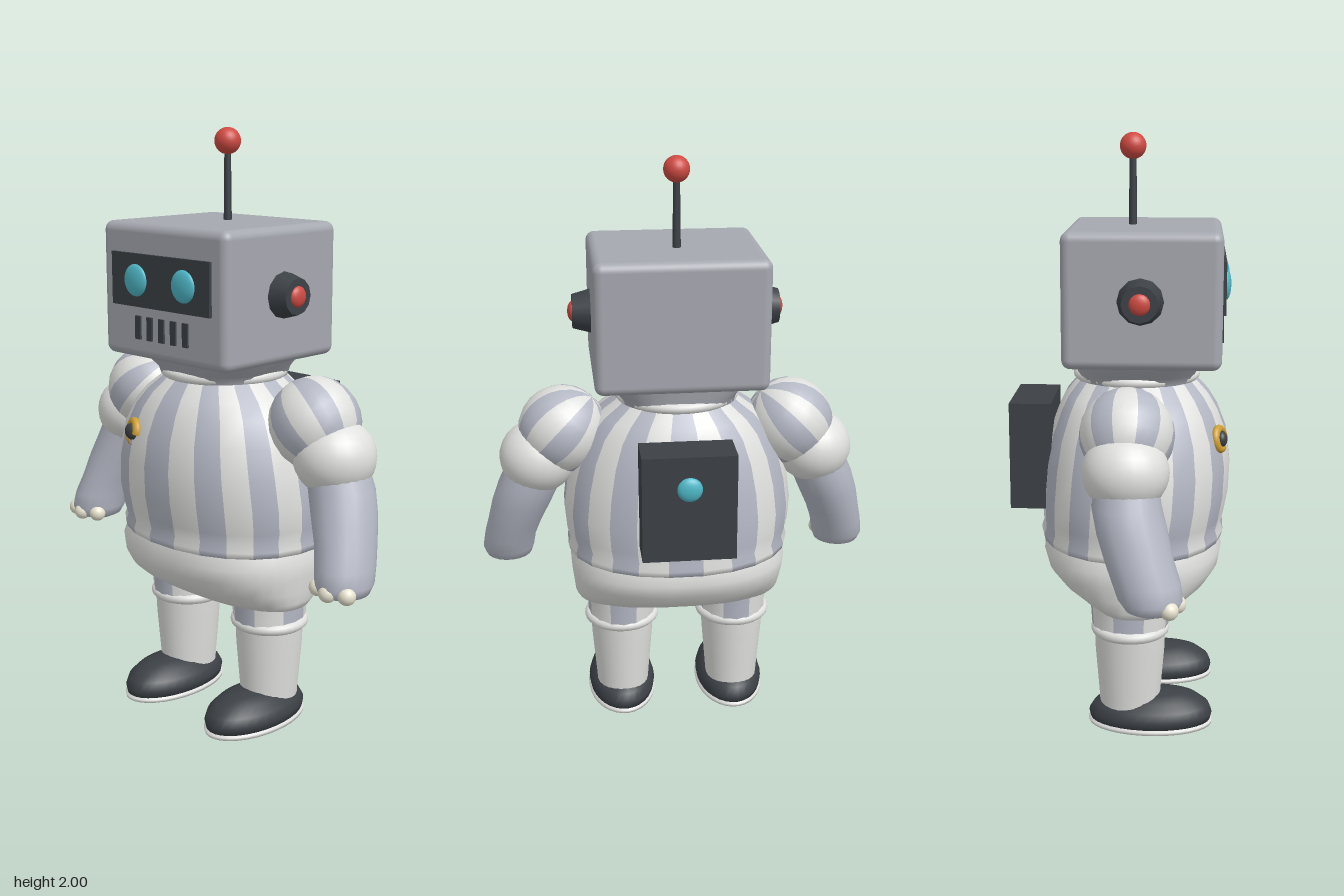
import * as THREE from 'three';
import { RoundedBoxGeometry } from 'three/addons/geometries/RoundedBoxGeometry.js';

const paint = (name, color) => {
  const m = new THREE.MeshStandardMaterial({ color });
  m.name = name;
  return m;
};

export function createModel() {
  const shell = paint('shell grey', 0xa6a8b0);
  const grey = paint('stripe grey', 0xb4b8c4);
  const white = paint('cloth white', 0xe0e0de);
  const dark = paint('dark panel', 0x3c4146);
  const teal = paint('teal light', 0x4fb8c8);
  const red = paint('red', 0xcf4a42);
  const gold = paint('gold', 0xd0a032);
  const cream = paint('cream', 0xe8e3d0);

  const robot = new THREE.Group();
  robot.name = 'robot';

  const add = (name, geo, mat, x = 0, y = 0, z = 0) => {
    const m = new THREE.Mesh(geo, mat);
    m.name = name;
    m.position.set(x, y, z);
    robot.add(m);
    return m;
  };

  // Stretched ball
  const ball = (name, mat, x, y, z, rx, ry = rx, rz = rx) => {
    const m = add(name, new THREE.SphereGeometry(1, 24, 16), mat, x, y, z);
    m.scale.set(rx, ry, rz);
    return m;
  };

  // Skin over horizontal sections [y, cx, cz, rx, rz], top to bottom.
  // Each face column is a group, so two materials give vertical stripes.
  const loft = (sections, seg = 24, power = 2, colWidth = 1) => {
    const pos = [], index = [];
    const bend = v => Math.sign(v) * Math.pow(Math.abs(v), 2 / power);
    for (const [y, cx, cz, rx, rz] of sections)
      for (let k = 0; k < seg; k++) {
        const a = (k - colWidth / 2) * Math.PI * 2 / seg;
        pos.push(cx + rx * bend(Math.sin(a)), y, cz + rz * bend(Math.cos(a)));
      }
    const geo = new THREE.BufferGeometry();
    for (let k = 0; k < seg; k++) {
      const start = index.length;
      for (let r = 0; r < sections.length - 1; r++) {
        const a = r * seg + k, b = r * seg + (k + 1) % seg;
        index.push(a, a + seg, b, b, a + seg, b + seg);
      }
      geo.addGroup(start, index.length - start, Math.floor(k / colWidth) % 2);
    }
    geo.setAttribute('position', new THREE.Float32BufferAttribute(pos, 3));
    geo.setIndex(index);
    geo.computeVertexNormals();
    return geo;
  };
  const stripes = [grey, white];

  // Head, chin and antenna
  add('head', new RoundedBoxGeometry(0.57, 0.435, 0.51, 4, 0.03), shell, 0, 1.487, 0.083);
  add('chin', loft([[1.29, 0, 0.075, 0.255, 0.225], [1.265, 0, 0.075, 0.25, 0.215],
    [1.225, 0, 0.06, 0.205, 0.2], [1.2, 0, 0.06, 0.2, 0.19]], 32, 2.6), [shell, shell]);
  add('antennaRod', new THREE.CylinderGeometry(0.011, 0.014, 0.25, 12), dark, 0, 1.81, 0.043);
  ball('antennaTip', red, 0, 1.956, 0.043, 0.043);

  // Face
  add('visor', new THREE.BoxGeometry(0.45, 0.17, 0.03), dark, 0, 1.525, 0.334);
  for (let i = -2; i <= 2; i++)
    add('mouthSlot', new THREE.BoxGeometry(0.024, 0.076, 0.02), dark, i * 0.055, 1.372, 0.335);
  for (const s of [1, -1]) {
    ball('eye', teal, s * 0.11, 1.525, 0.348, 0.052, 0.052, 0.018);
    const ear = add('ear', new THREE.CylinderGeometry(0.058, 0.076, 0.065, 12), dark, s * 0.312, 1.49, 0.08);
    ear.rotation.z = -s * Math.PI / 2;
    ball('earButton', red, s * 0.342, 1.49, 0.08, 0.018, 0.034, 0.034);
  }

  // Striped shirt with collar and hem
  add('shirt', loft([
    [1.215, 0, 0.058, 0.19, 0.18], [1.19, 0, 0.058, 0.215, 0.205], [1.15, 0, 0.06, 0.27, 0.24],
    [1.1, 0, 0.063, 0.315, 0.268], [1.02, 0, 0.064, 0.355, 0.298], [0.92, 0, 0.062, 0.382, 0.314],
    [0.82, 0, 0.056, 0.395, 0.316], [0.74, 0, 0.048, 0.388, 0.309], [0.705, 0, 0.045, 0.378, 0.304],
    [0.68, 0, 0.045, 0.386, 0.312], [0.66, 0, 0.045, 0.382, 0.308], [0.65, 0, 0.045, 0.36, 0.285],
  ], 24, 2.15), stripes);
  const collar = add('collar', new THREE.TorusGeometry(0.195, 0.018, 12, 40), white, 0, 1.212, 0.058);
  collar.rotation.x = Math.PI / 2;

  // Trousers
  add('trousers', loft([
    [0.665, 0, 0.047, 0.36, 0.29], [0.62, 0, 0.047, 0.376, 0.303], [0.57, 0, 0.05, 0.372, 0.292],
    [0.52, 0, 0.055, 0.366, 0.252], [0.48, 0, 0.06, 0.362, 0.195], [0.456, 0, 0.062, 0.35, 0.155],
    [0.45, 0, 0.062, 0.3, 0.12], [0.465, 0, 0.06, 0.001, 0.001],
  ], 40, 2.4), [white, white]);

  // Badge on the chest
  const badge = add('badgeRing', new THREE.TorusGeometry(0.033, 0.014, 10, 24, 5.2), gold, -0.15, 1.02, 0.337);
  badge.rotation.set(-0.2, -0.4, -0.2);
  ball('badgeCentre', dark, -0.15, 1.02, 0.343, 0.028, 0.028, 0.02);

  // Back pack
  add('backPack', new THREE.BoxGeometry(0.306, 0.36, 0.14), dark, 0, 0.95, -0.288);
  ball('packLight', teal, 0, 1.02, -0.358, 0.041, 0.041, 0.02);

  // Ball made of rings, used for the striped shoulder
  const rings = [];
  for (let i = 0; i <= 12; i++) {
    const a = i * Math.PI / 12, r = 0.15 * Math.sin(a) + 1e-4;
    rings.push([0.15 * Math.cos(a), 0, 0, r, r]);
  }

  for (const s of [1, -1]) {
    // Arm
    const shoulder = add('shoulder', loft(rings, 24, 2, 2), stripes, s * 0.39, 1.09, 0.045);
    shoulder.rotation.z = s * 0.75;
    ball('sleeveCuff', white, s * 0.475, 0.995, 0.045, 0.132, 0.125, 0.136);
    add('forearm', loft([
      [0.98, s * 0.48, 0.045, 0.1, 0.1], [0.9, s * 0.51, 0.05, 0.106, 0.108],
      [0.82, s * 0.54, 0.07, 0.102, 0.11], [0.74, s * 0.567, 0.093, 0.093, 0.106],
      [0.68, s * 0.585, 0.115, 0.09, 0.105], [0.63, s * 0.593, 0.128, 0.09, 0.1],
      [0.6, s * 0.593, 0.132, 0.08, 0.083], [0.586, s * 0.593, 0.132, 0.05, 0.05],
      [0.583, s * 0.593, 0.132, 0.001, 0.001],
    ], 20), [grey, grey]);
    for (const i of [-1, 0, 1])
      ball('finger', cream, s * (0.593 + i * 0.058), 0.615, 0.208 - Math.abs(i) * 0.022, 0.029);

    // Leg
    const x = s * 0.2, z = 0.047;
    add('upperLeg', loft([[0.5, x, z, 0.122, 0.136], [0.38, x, z, 0.118, 0.128]], 16, 2, 2), stripes);
    const band = add('legBand', new THREE.TorusGeometry(0.113, 0.019, 12, 32), white, x, 0.376, z);
    band.rotation.x = Math.PI / 2;
    add('lowerLeg', loft([[0.38, x, z, 0.112, 0.12], [0.3, x, z, 0.108, 0.117],
      [0.14, x, z, 0.095, 0.104], [0.07, x, z, 0.09, 0.1]], 24), [white, white]);

    // Shoe
    add('shoe', loft([
      [0.145, x, 0.15, 0.001, 0.001], [0.141, x, 0.145, 0.045, 0.08], [0.126, x, 0.13, 0.085, 0.15],
      [0.1, x, 0.12, 0.111, 0.195], [0.07, x, 0.117, 0.12, 0.21], [0.045, x, 0.117, 0.116, 0.204],
      [0.03, x, 0.117, 0.09, 0.16],
    ], 32), [dark, dark]);
    add('sole', loft([
      [0.05, x, 0.117, 0.11, 0.195], [0.042, x, 0.117, 0.123, 0.212], [0.03, x, 0.117, 0.121, 0.209],
      [0.014, x, 0.117, 0.085, 0.148], [0.004, x, 0.117, 0.055, 0.095], [0.003, x, 0.117, 0.001, 0.001],
    ], 32), [white, white]);
    const patch = add('solePatch', new THREE.CylinderGeometry(1, 1, 0.006, 28), dark, x, 0.003, 0.117);
    patch.scale.set(0.06, 1, 0.1);
  }
  return robot;
}
